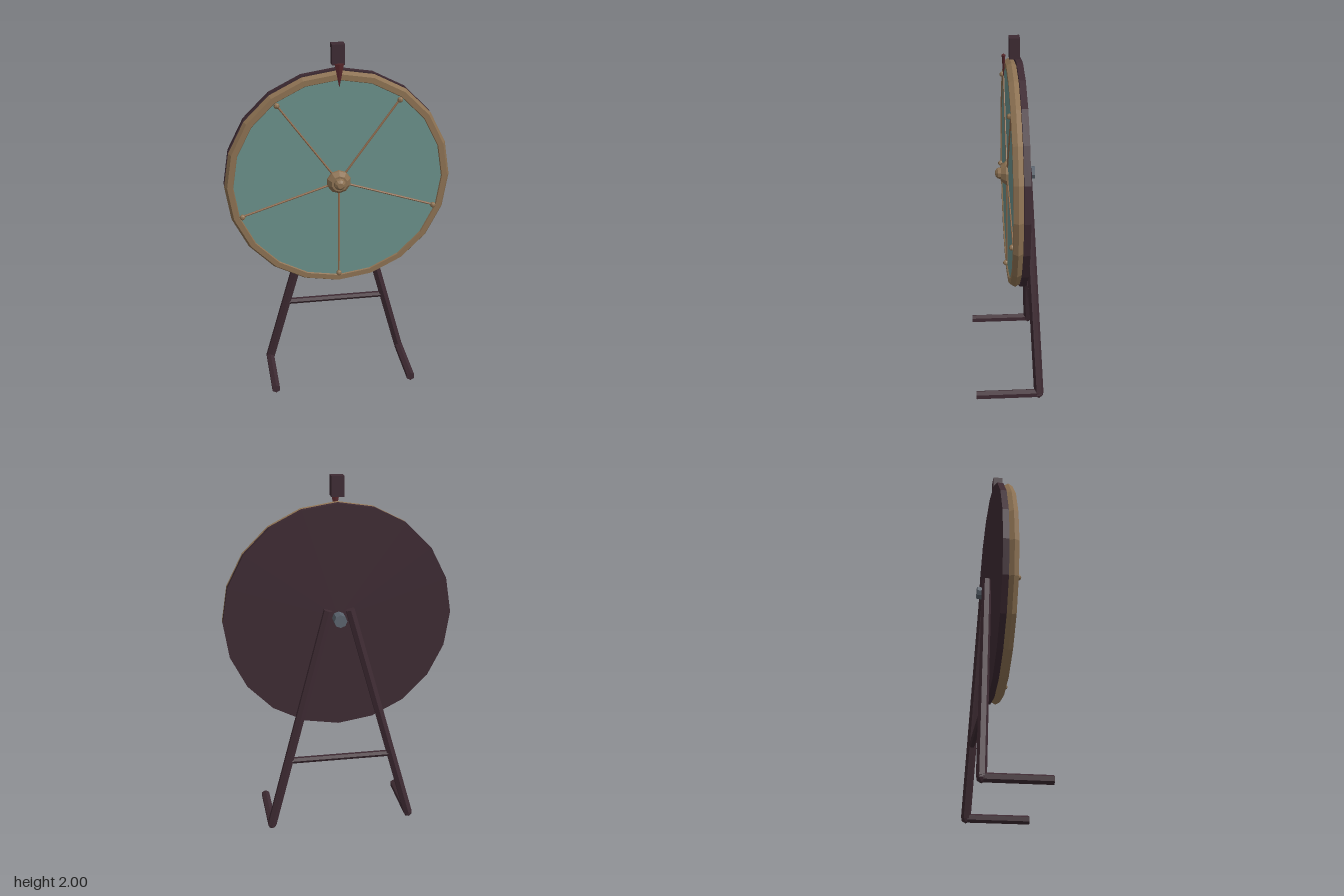
import * as THREE from 'three';

const mat = (name, color) => {
  const m = new THREE.MeshStandardMaterial({ color, flatShading: true });
  m.name = name;
  return m;
};

export function createModel() {
  const darkWood = mat('dark wood', 0x3d2a32);
  const brass = mat('brass', 0x8c7152);
  const teal = mat('teal', 0x698f89);
  const copper = mat('copper', 0x8e6b4e);
  const red = mat('dark red', 0x55262a);
  const steel = mat('steel', 0x5a636d);

  const model = new THREE.Group();
  model.name = 'prizeWheel';
  const hubY = 1.23;

  const add = (name, geometry, material, x = 0, y = 0, z = 0, parent = model) => {
    const mesh = new THREE.Mesh(geometry, material);
    mesh.name = name;
    mesh.position.set(x, y, z);
    parent.add(mesh);
    return mesh;
  };
  // cylinder whose axis runs along z, between two depths
  const disc = (name, rBack, rFront, back, front, sides, material, parent) =>
    add(name, new THREE.CylinderGeometry(rFront, rBack, front - back, sides).rotateX(Math.PI / 2),
      material, 0, 0, (back + front) / 2, parent);
  // straight bar between two points
  const bar = (name, a, b, radius, sides, material, parent) => {
    const from = new THREE.Vector3(...a), to = new THREE.Vector3(...b);
    const dir = to.clone().sub(from);
    const mid = from.clone().add(to).multiplyScalar(0.5);
    const mesh = add(name, new THREE.CylinderGeometry(radius, radius, dir.length(), sides),
      material, mid.x, mid.y, mid.z, parent);
    mesh.quaternion.setFromUnitVectors(new THREE.Vector3(0, 1, 0), dir.normalize());
    return mesh;
  };

  // Wheel: face, faceted rim, five spokes with pins, stepped hub
  const wheel = new THREE.Group();
  wheel.name = 'wheel';
  wheel.position.y = hubY;
  model.add(wheel);
  disc('wheelFace', 0.6, 0.6, -0.045, -0.01, 20, teal, wheel);
  add('rim', new THREE.TorusGeometry(0.6, 0.03, 6, 20), brass, 0, 0, -0.029, wheel);
  for (let i = 0; i < 5; i++) {
    const a = -Math.PI / 2 + (i * Math.PI * 2) / 5;
    const x = Math.cos(a) * 0.567, y = Math.sin(a) * 0.567;
    bar('spoke', [0, 0, -0.008], [x, y, -0.008], 0.006, 6, copper, wheel);
    add('pin', new THREE.SphereGeometry(0.016, 8, 6), brass, x, y, 0, wheel);
  }
  disc('hubBase', 0.07, 0.066, -0.02, 0.002, 10, brass, wheel);
  disc('hubCone', 0.066, 0.045, 0.002, 0.028, 10, brass, wheel);
  disc('hubCap', 0.034, 0.03, 0.028, 0.045, 10, brass, wheel);
  disc('hubTip', 0.03, 0.016, 0.045, 0.058, 10, brass, wheel);

  // Backing board and axle
  const back = new THREE.Group();
  back.name = 'backing';
  back.position.y = hubY;
  model.add(back);
  disc('backBoard', 0.63, 0.63, -0.09, -0.056, 20, darkWood, back);
  disc('axle', 0.036, 0.036, -0.16, -0.05, 8, steel, back);

  // Pointer and its block above the wheel
  add('pointerBlock', new THREE.BoxGeometry(0.07, 0.11, 0.056), darkWood, 0, 1.945, -0.044);
  const pointer = new THREE.CylinderGeometry(0.025, 0.001, 0.125, 4).scale(1, 1, 0.4);
  add('pointer', pointer, red, 0, 1.842, 0.012);

  // Stand: splayed legs, forward feet and a cross bar
  for (const side of [-1, 1]) {
    bar('leg', [side * 0.4, 0.03, -0.165], [side * 0.06, 1.28, -0.11], 0.027, 6, darkWood);
    bar('foot', [side * 0.4, 0.03, -0.16], [side * 0.4, 0.03, 0.19], 0.025, 6, darkWood);
    add('footJoint', new THREE.IcosahedronGeometry(0.027, 0), darkWood, side * 0.4, 0.027, -0.165);
  }
  bar('crossBar', [-0.295, 0.415, -0.148], [0.295, 0.415, -0.148], 0.018, 6, darkWood);

  return model;
}
